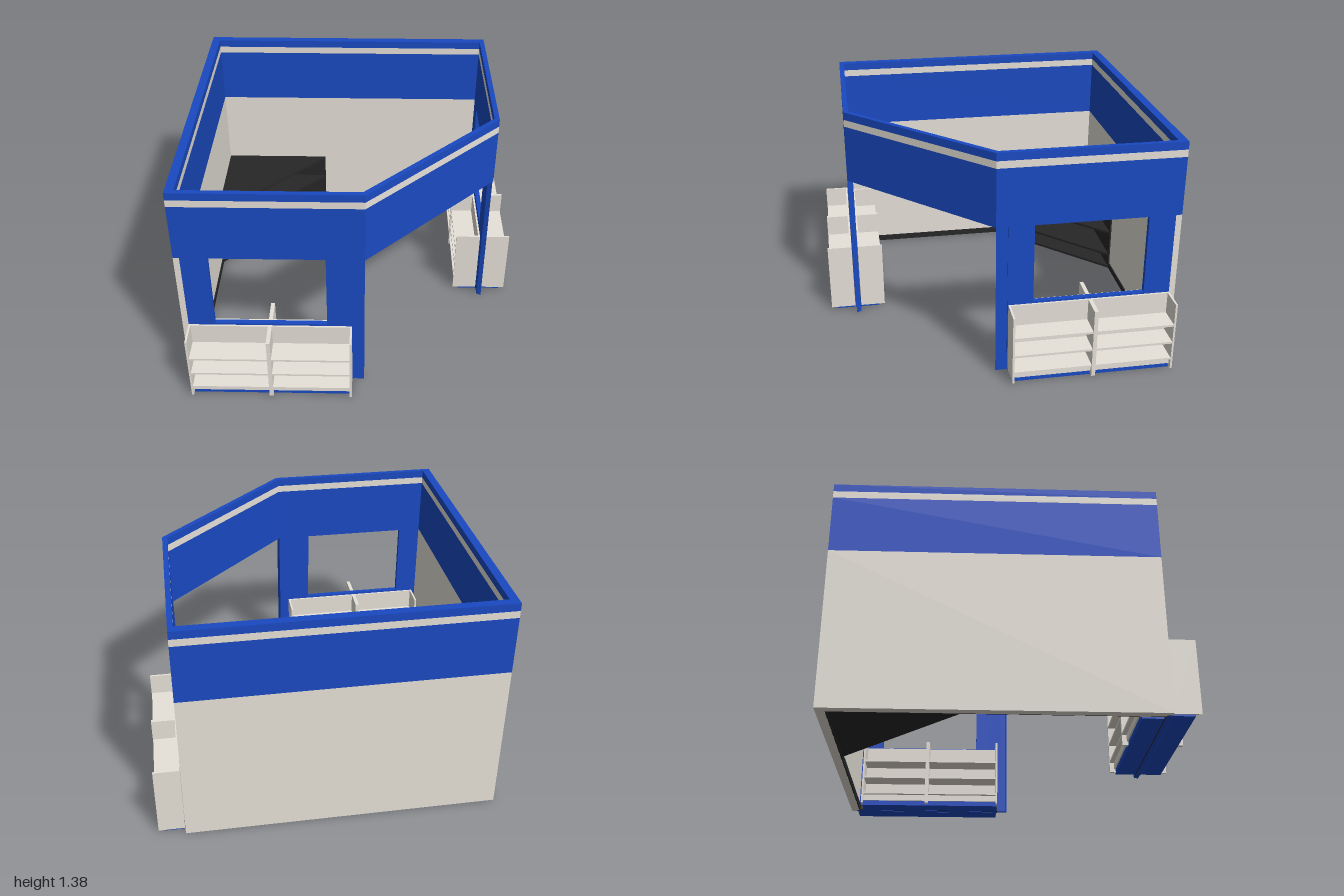
import * as THREE from 'three';

const mat = (name, color) => Object.assign(new THREE.MeshStandardMaterial({ color }), { name });

export function createModel() {
  const blue = mat('blue paint', 0x1a4ac2);
  const cream = mat('cream panel', 0xeae5dc);
  const dark = mat('dark trim', 0x272727);
  const model = new THREE.Group();
  model.name = 'cornerBooth';

  const add = (parent, name, geometry, material) => {
    const mesh = new THREE.Mesh(geometry, material);
    mesh.name = name;
    parent.add(mesh);
    return mesh;
  };

  // Box given by its limits; swap exchanges x and z to mirror across the diagonal
  const box = (parent, name, material, [x0, x1], [y0, y1], [z0, z1], swap = false) => {
    const w = x1 - x0, d = z1 - z0, cx = (x0 + x1) / 2, cz = (z0 + z1) / 2;
    const geometry = new THREE.BoxGeometry(swap ? d : w, y1 - y0, swap ? w : d);
    add(parent, name, geometry, material)
      .position.set(swap ? cz : cx, (y0 + y1) / 2, swap ? cx : cz);
  };

  // Upright prism over a floor plan of [x, z] points; a hole runs the opposite way round
  const toPlan = (points, swap) =>
    points.map(([x, z]) => swap ? new THREE.Vector2(z, -x) : new THREE.Vector2(x, -z));
  const prism = (parent, name, material, points, [y0, y1], hole, swap = false) => {
    const shape = new THREE.Shape(toPlan(points, swap));
    if (hole) shape.holes.push(new THREE.Path(toPlan(hole, swap)));
    const geometry = new THREE.ExtrudeGeometry(shape, { depth: y1 - y0, bevelEnabled: false });
    geometry.rotateX(-Math.PI / 2).translate(0, y0, 0);
    add(parent, name, geometry, material);
  };

  // Five-sided fascia with a cream stripe inside and out
  const outer = [[-1, -1], [0.845, -1], [0.845, 0.063], [0.063, 0.845], [-1, 0.845]];
  const inner = [[-0.95, 0.815], [0.05, 0.815], [0.815, 0.05], [0.815, -0.95], [-0.95, -0.95]];
  prism(model, 'fascia', blue, outer, [0.937, 1.287], inner);
  prism(model, 'fasciaStripe', cream, outer, [1.287, 1.33], inner);
  prism(model, 'fasciaCap', blue, outer, [1.33, 1.377], inner);

  // Two solid walls meeting at the back corner
  prism(model, 'solidWalls', cream, [
    [-1, -1], [0.845, -1], [0.845, -0.965], [0.815, -0.965], [0.815, -0.95], [-0.95, -0.95],
    [-0.95, 0.815], [-0.965, 0.815], [-0.965, 0.845], [-1, 0.845],
  ], [0, 0.937]);

  // Open-fronted shelf unit; back and front are z limits, front on the open side
  const shelfUnit = (name, x0, x1, back, front, swap) => {
    const unit = new THREE.Group();
    unit.name = name;
    model.add(unit);
    const dir = Math.sign(front - back);
    const span = (a, b) => [Math.min(a, b), Math.max(a, b)];
    const inset = front - dir * 0.002;
    box(unit, 'plinth', blue, [x0 + 0.006, x1 - 0.002], [0, 0.03], span(back, front - dir * 0.035), swap);
    box(unit, 'backPanel', cream, [x0, x1], [0.01, 0.442], span(back, back + dir * 0.012), swap);
    for (const [a, b] of [[x0, x0 + 0.012], [-0.5, -0.477], [x1 - 0.012, x1]])
      box(unit, 'uprightPanel', cream, [a, b], [0.01, 0.442], span(back, front), swap);
    for (const [a, b] of [[x0 + 0.012, -0.5], [-0.477, x1 - 0.012]]) {
      for (const y of [0.07, 0.181, 0.297])
        box(unit, 'shelf', cream, [a, b], [y, y + 0.013], span(back + dir * 0.012, inset), swap);
      box(unit, 'kickPanel', cream, [a, b], [0.03, 0.07], span(inset - dir * 0.036, inset - dir * 0.024), swap);
    }
  };

  for (const swap of [false, true]) {
    // Window wall, open up to the fascia
    const side = new THREE.Group();
    side.name = swap ? 'rightWindowWall' : 'frontWindowWall';
    model.add(side);
    const depth = [0.815, 0.845];
    box(side, 'sillPanel', blue, [-0.81, -0.155], [0, 0.452], depth, swap);
    box(side, 'cornerPier', blue, [-0.965, -0.81], [0, 0.937], depth, swap);
    box(side, 'doorPier', blue, [-0.155, -0.005], [0, 0.937], depth, swap);
    prism(side, 'doorPost', blue,
      [[-0.005, 0.812], [0.05, 0.812], [0.062, 0.84], [-0.005, 0.84]], [0, 0.937], null, swap);

    // Dark skirting along the inside of both walls
    box(side, 'windowWallSkirting', dark, [-0.95, -0.005], [0.001, 0.04], [0.81, 0.815], swap);
    box(side, 'solidWallSkirting', dark, [-0.95, 0.81], [0.001, 0.04], [-0.95, -0.943], swap);

    const label = swap ? 'right' : 'front';
    shelfUnit(label + 'OuterShelves', -0.965, -0.01, 0.848, 1, swap);
    shelfUnit(label + 'InnerShelves', -0.925, -0.01, 0.809, 0.655, swap);
  }

  // Triangular dark shelves in the back corner
  const corner = new THREE.Group();
  corner.name = 'cornerShelves';
  model.add(corner);
  const triangle = [[-0.94, -0.94], [-0.25, -0.94], [-0.94, -0.25]];
  for (const y of [0.005, 0.1, 0.27, 0.43])
    prism(corner, 'cornerShelf', dark, triangle, [y, y + 0.015]);
  for (const swap of [false, true])
    box(corner, 'cornerBackPanel', dark, [-0.949, -0.25], [0.002, 0.444], [-0.949, -0.939], swap);

  return model;
}
